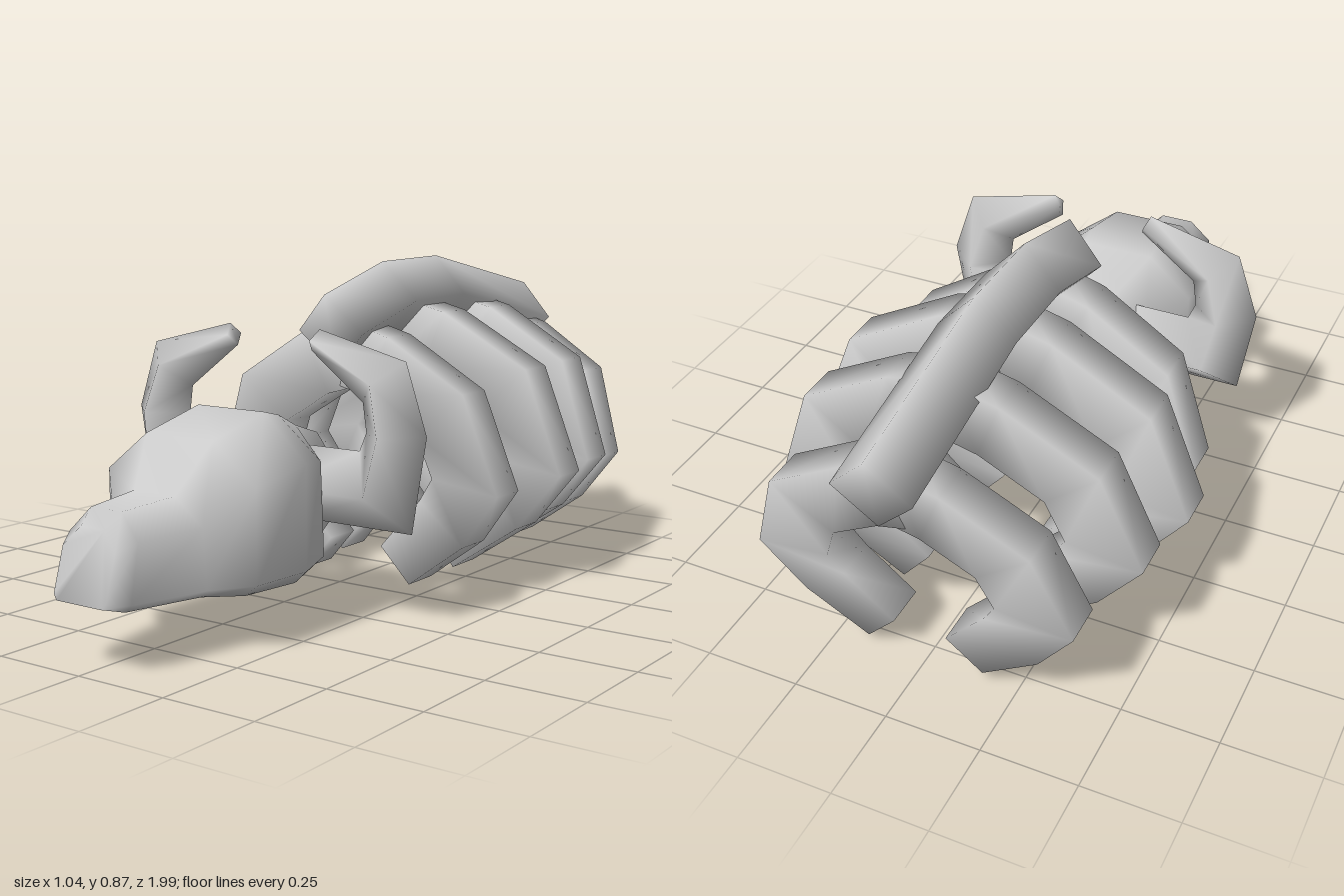
import * as THREE from 'three';

const material = new THREE.MeshStandardMaterial({ color: 0xcccccc });

// Skin a row of equal-sized rings [[x,y,z],...], close both ends, shade smoothly
function loft(name, rings) {
  const n = rings[0].length;
  const pos = rings.flat(2);
  const index = [];
  for (let i = 0; i < rings.length - 1; i++) {
    for (let j = 0; j < n; j++) {
      const a = i * n + j, b = i * n + (j + 1) % n;
      index.push(a, b, a + n, b, b + n, a + n);
    }
  }
  const last = (rings.length - 1) * n;
  for (let j = 1; j < n - 1; j++) {
    index.push(0, j + 1, j, last, last + j, last + j + 1);
  }
  // Turn the faces outward if the enclosed volume comes out negative
  const v = (k) => new THREE.Vector3().fromArray(pos, index[k] * 3);
  let volume = 0;
  for (let k = 0; k < index.length; k += 3) volume += v(k).dot(v(k + 1).cross(v(k + 2)));
  if (volume < 0) index.reverse();

  const geometry = new THREE.BufferGeometry();
  geometry.setAttribute('position', new THREE.Float32BufferAttribute(pos, 3));
  geometry.setIndex(index);
  geometry.computeVertexNormals();
  const mesh = new THREE.Mesh(geometry, material);
  mesh.name = name;
  return mesh;
}

// Four-sided sections: [along the path's normal, across its plane]
const DIAMOND = [[1, 0], [0, 1], [-1, 0], [0, -1]];
const BOX = [[1, 1], [-1, 1], [-1, -1], [1, -1]];

// Mitred sweep of a section along a flat path of [u, v, radius, depth];
// place(u, v, w) maps it into space, w being across the path's plane
function sweep(name, section, path, place) {
  const pts = path.map(([u, v]) => new THREE.Vector2(u, v));
  const dir = (i) => pts[i + 1].clone().sub(pts[i]).normalize();
  const rings = path.map(([u, v, radius, depth], i) => {
    const before = dir(Math.max(i - 1, 0));
    const after = dir(Math.min(i, pts.length - 2));
    const t = before.clone().add(after).normalize();
    const mitre = 1 / t.dot(after);
    return section.map(([p, q]) => {
      const r = p * radius * mitre;
      return place(u - t.y * r, v + t.x * r, q * depth);
    });
  });
  return loft(name, rings);
}

export function createModel() {
  const model = new THREE.Group();
  model.name = 'skeleton';

  // Arched backbone, running front to back with a ridge on top
  const spine = [[0.05, 0.697], [-0.21, 0.768], [-0.46, 0.772], [-0.975, 0.667]]
    .map(([z, y]) => [z, y, 0.105, 0.103]);
  model.add(sweep('spine', DIAMOND, spine, (z, y, x) => [x + 0.005, y, z]));

  // Four pairs of broad ribs, each leaning in its own plane: [x, y, radius]
  const ribPath = [
    [0, 0.665, 0.09], [0.12, 0.635, 0.09], [0.34, 0.515, 0.09],
    [0.42, 0.315, 0.088], [0.33, 0.2, 0.085], [0.15, 0.055, 0.065],
  ];
  const ribs = [
    { width: 0.85, height: 0.94, lift: 0.005, top: -0.075, bottom: -0.14 },
    { width: 1, height: 1, lift: 0.015, top: -0.33, bottom: -0.335 },
    { width: 0.93, height: 0.96, lift: 0.035, top: -0.595, bottom: -0.52 },
    { width: 0.76, height: 0.85, lift: 0.035, top: -0.865, bottom: -0.74 },
  ];
  for (const side of [1, -1]) {
    const label = side > 0 ? 'left' : 'right';
    ribs.forEach((rib, i) => {
      const path = ribPath.map(([x, y, r]) => [x * rib.width, y * rib.height + rib.lift, r, 0.056]);
      const place = (x, y, w) =>
        [side * x, y, THREE.MathUtils.lerp(rib.bottom, rib.top, y / 0.7) + w];
      model.add(sweep(`${label}Rib${i + 1}`, BOX, path, place));
    });

    // Horn: out of the skull, upward, then in to a blunt tip
    const horn = [
      [0.08, 0.345, 0.095, 0.1], [0.34, 0.345, 0.095, 0.1], [0.37, 0.49, 0.085, 0.085],
      [0.335, 0.615, 0.075, 0.065], [0.13, 0.705, 0.03, 0.028],
    ];
    model.add(sweep(`${label}Horn`, DIAMOND, horn, (x, y, w) => [side * x, y, 0.285 + w]));
  }

  // Skull sections, nose to nape: top z, top y, bottom z, bottom y, half width
  const sections = [
    [0.945, 0.335, 0.995, 0.17, 0.08], [0.9, 0.37, 0.94, 0.155, 0.105],
    [0.74, 0.38, 0.72, 0.145, 0.14], [0.65, 0.5, 0.65, 0.145, 0.23],
    [0.46, 0.545, 0.46, 0.135, 0.23], [0.4, 0.53, 0.38, 0.16, 0.225],
    [0.28, 0.485, 0.28, 0.19, 0.14], [0.165, 0.45, 0.18, 0.21, 0.1],
    [0.145, 0.37, 0.145, 0.29, 0.06],
  ];
  // Outline of a section as [share of width, share of height]
  const half = [[0.45, 1], [1, 0.72], [1, 0.08], [0.85, 0]];
  const outline = [...half, ...half.map(([x, y]) => [-x, y]).reverse()];
  model.add(loft('skull', sections.map(([zt, yt, zb, yb, w]) =>
    outline.map(([x, h]) => [x * w, yb + (yt - yb) * h, zb + (zt - zb) * h]))));

  return model;
}
